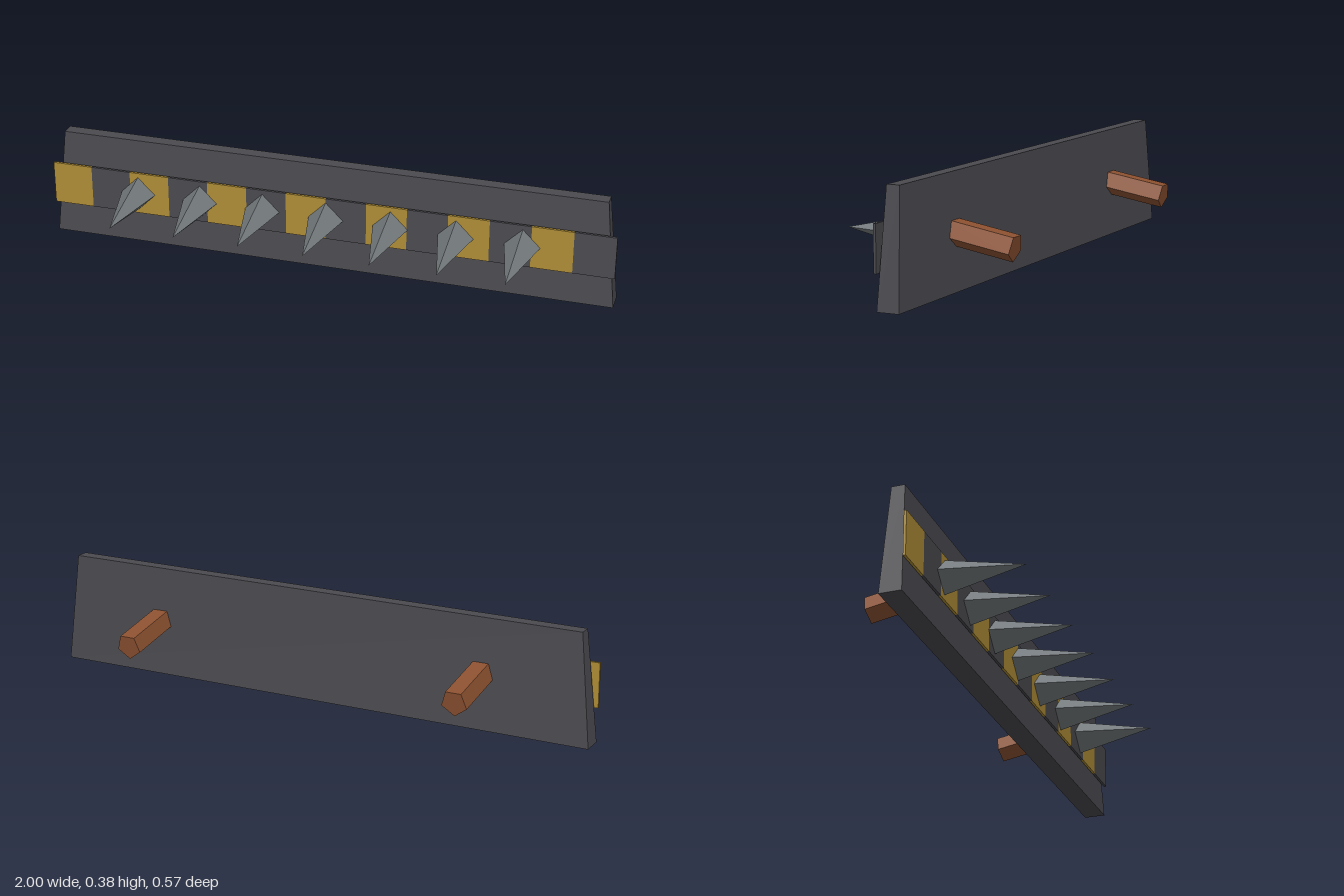
import * as THREE from 'three';

const mat = (name, color) => {
  const m = new THREE.MeshStandardMaterial({ color });
  m.name = name;
  return m;
};

export function createModel() {
  const dark = mat('dark metal', 0x4b4a4f);
  const yellow = mat('warning yellow', 0xae8d36);
  const steel = mat('spike steel', 0x757b7e);
  const rust = mat('rusty brown', 0x8d5231);
  [dark, steel, rust].forEach((m) => { m.flatShading = true; });

  const group = new THREE.Group();
  const add = (name, geometry, material, x, y, z) => {
    const mesh = new THREE.Mesh(geometry, material);
    mesh.name = name;
    mesh.position.set(x, y, z);
    group.add(mesh);
    return mesh;
  };

  // Plank, narrowing towards its top edge
  const H = 0.385;
  const plank = new THREE.BoxGeometry(2, H, 0.076);
  const p = plank.attributes.position;
  for (let i = 0; i < p.count; i++) {
    if (p.getY(i) > 0) p.setXYZ(i, p.getX(i) * 0.96, p.getY(i), p.getZ(i) * 0.6);
  }
  plank.computeVertexNormals();
  add('plank', plank, dark, 0, H / 2, -0.038);

  // Warning strip of alternating yellow and dark blocks
  const blocks = 14;
  const w = 2 / blocks;
  const block = new THREE.BoxGeometry(w, 0.154, 0.009);
  for (let i = 0; i < blocks; i++) {
    const isYellow = i % 2 === 0;
    add(isYellow ? 'yellowStripe' : 'darkStripe', block, isYellow ? yellow : dark,
      -1 + (i + 0.5) * w, 0.193, 0.005);
  }

  // Row of four-sided spikes pointing forward
  const spike = new THREE.ConeGeometry(0.066, 0.295, 4);
  for (let i = -3; i <= 3; i++) {
    add('spike', spike, steel, i * 0.228, 0.193, 0.137).rotation.x = Math.PI / 2;
  }

  // Five-sided pegs at the back, sloping down
  const tilt = THREE.MathUtils.degToRad(10);
  const L = 0.23;
  const peg = new THREE.CylinderGeometry(0.0465, 0.0465, L, 5, 1, false, Math.PI);
  for (const side of [-1, 1]) {
    add('peg', peg, rust, side * 0.615,
      0.156 + Math.sin(tilt) * L / 2, -0.276 + Math.cos(tilt) * L / 2)
      .rotation.x = -Math.PI / 2 - tilt;
  }
  return group;
}
